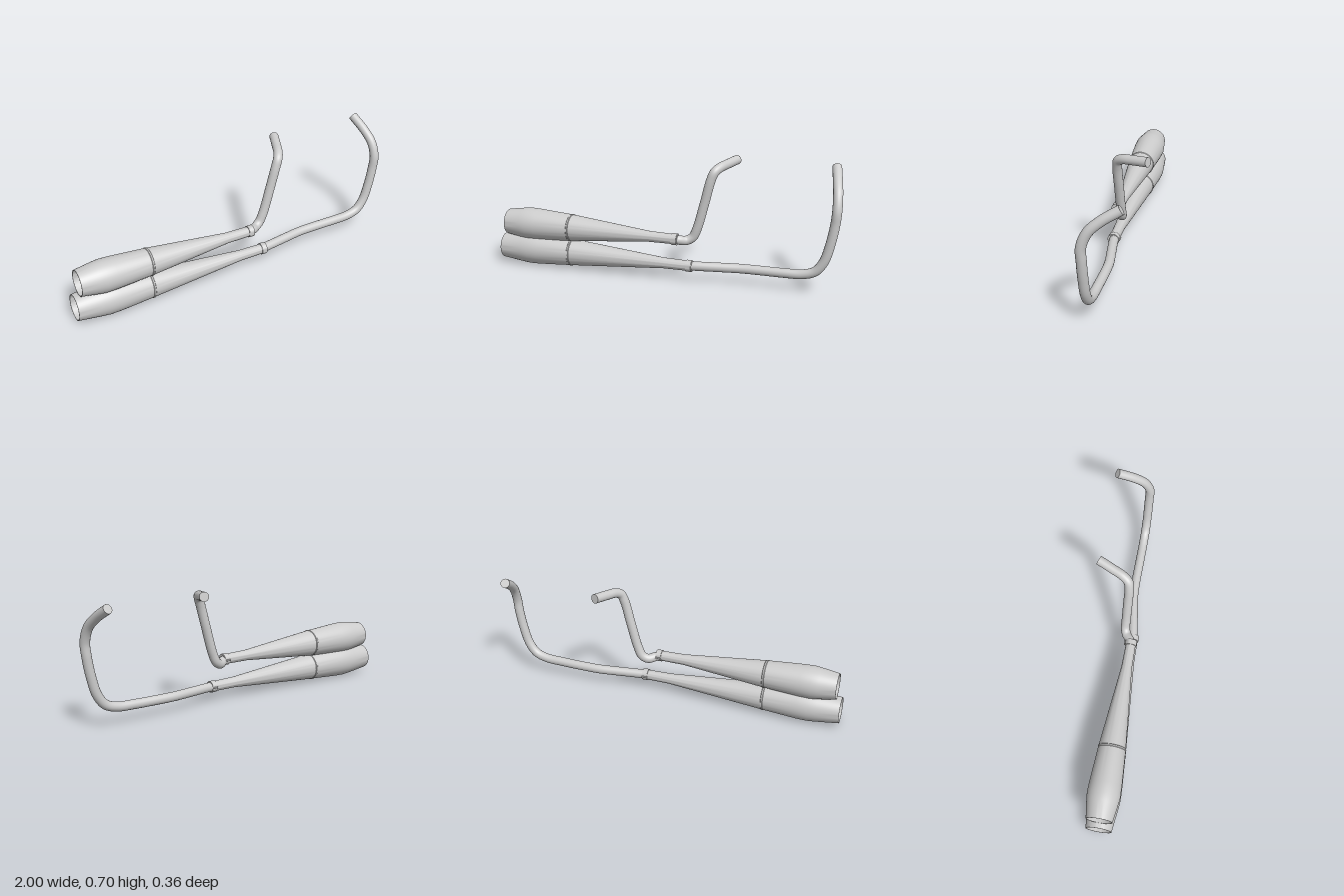
import * as THREE from 'three';
import { toCreasedNormals } from 'three/addons/utils/BufferGeometryUtils.js';

const metal = new THREE.MeshStandardMaterial({ color: 0xcccccc, side: THREE.DoubleSide });
metal.name = 'brushed steel';

const V = (p) => new THREE.Vector3(...p);

function mesh(name, geometry) {
  const m = new THREE.Mesh(geometry, metal);
  m.name = name;
  return m;
}

// Revolved part: profile of [radius, distance along the axis]
function turned(name, profile) {
  const g = new THREE.LatheGeometry(profile.map(([r, d]) => new THREE.Vector2(r, d)), 48);
  return mesh(name, toCreasedNormals(g, 0.4));
}

// Bent round pipe with flat caps on both ends
function pipe(name, points, radius) {
  const group = new THREE.Group();
  group.name = name;
  const curve = new THREE.CatmullRomCurve3(points.map(V));
  group.add(mesh(name + 'Tube', new THREE.TubeGeometry(curve, 120, radius, 24)));
  for (const t of [0, 1]) {
    const cap = mesh(name + 'Cap', new THREE.CircleGeometry(radius, 24));
    const dir = curve.getTangentAt(t).multiplyScalar(t ? 1 : -1);
    cap.position.copy(curve.getPointAt(t));
    cap.quaternion.setFromUnitVectors(new THREE.Vector3(0, 0, 1), dir);
    group.add(cap);
  }
  return group;
}

// Megaphone silencer from its open outlet to its narrow inlet
function silencer(name, outlet, inlet, bulge) {
  const group = new THREE.Group();
  group.name = name;
  const a = V(outlet), axis = V(inlet).sub(a);
  const L = axis.length();
  const seam = -0.56 - outlet[0];
  const neck = L - 0.17;

  // Outer wall, closed at the inlet, with a thin lip and inner wall at the outlet
  group.add(turned(name + 'Body', [
    [0.073, seam], [0.086, bulge + 0.03], [0.07, 0], [0.074, 0],
    [0.089, bulge * 0.72], [0.0935, bulge], [0.092, bulge + 0.06],
    [0.078, seam], [0.031, neck], [0.029, L - 0.03], [0.029, L], [0, L],
  ]));
  // Raised weld bead where the cone joins the rear section
  group.add(turned(name + 'Seam', [
    [0.077, seam - 0.008], [0.0805, seam - 0.004], [0.0805, seam + 0.004], [0.076, seam + 0.008],
  ]));
  // Inlet clamp
  group.add(turned(name + 'Clamp', [
    [0.027, L - 0.034], [0.0335, L - 0.034], [0.0335, L - 0.002], [0.027, L - 0.002],
  ]));
  // Clamp bolt
  const bolt = mesh(name + 'ClampBolt', new THREE.CylinderGeometry(0.005, 0.005, 0.03, 12));
  bolt.position.set(0, L - 0.018, -0.034);
  group.add(bolt);

  group.position.copy(a);
  group.quaternion.setFromUnitVectors(new THREE.Vector3(0, 1, 0), axis.normalize());
  return group;
}

export function createModel() {
  const model = new THREE.Group();
  model.name = 'twinExhaust';

  model.add(silencer('lowerSilencer', [-1, 0.1, 0.084], [0.185, 0.095, 0.071], 0.18));
  model.add(silencer('upperSilencer', [-0.97, 0.251, 0.084], [0.097, 0.244, 0.071], 0.14));

  // Long header: runs forward, turns up, then leans back and inward
  model.add(pipe('lowerHeader', [
    [0.15, 0.095, 0.071], [0.22, 0.096, 0.062], [0.34, 0.097, 0.042], [0.45, 0.098, 0.025],
    [0.55, 0.099, 0.021], [0.7, 0.101, 0.021], [0.8, 0.106, 0.021], [0.87, 0.13, 0.021],
    [0.915, 0.19, 0.021], [0.945, 0.29, 0.021], [0.965, 0.4, 0.021], [0.972, 0.48, 0.02],
    [0.967, 0.56, -0.012], [0.952, 0.62, -0.075], [0.93, 0.678, -0.167],
  ], 0.0265));

  // Short header: kicks inward, rises, then turns back
  model.add(pipe('upperHeader', [
    [0.07, 0.243, 0.071], [0.1, 0.238, 0.06], [0.136, 0.232, 0.034], [0.17, 0.252, 0.022],
    [0.195, 0.305, 0.021], [0.238, 0.46, 0.021], [0.272, 0.59, 0.021], [0.29, 0.635, 0.012],
    [0.31, 0.655, -0.02], [0.335, 0.665, -0.08], [0.37, 0.677, -0.168],
  ], 0.0265));

  return model;
}
